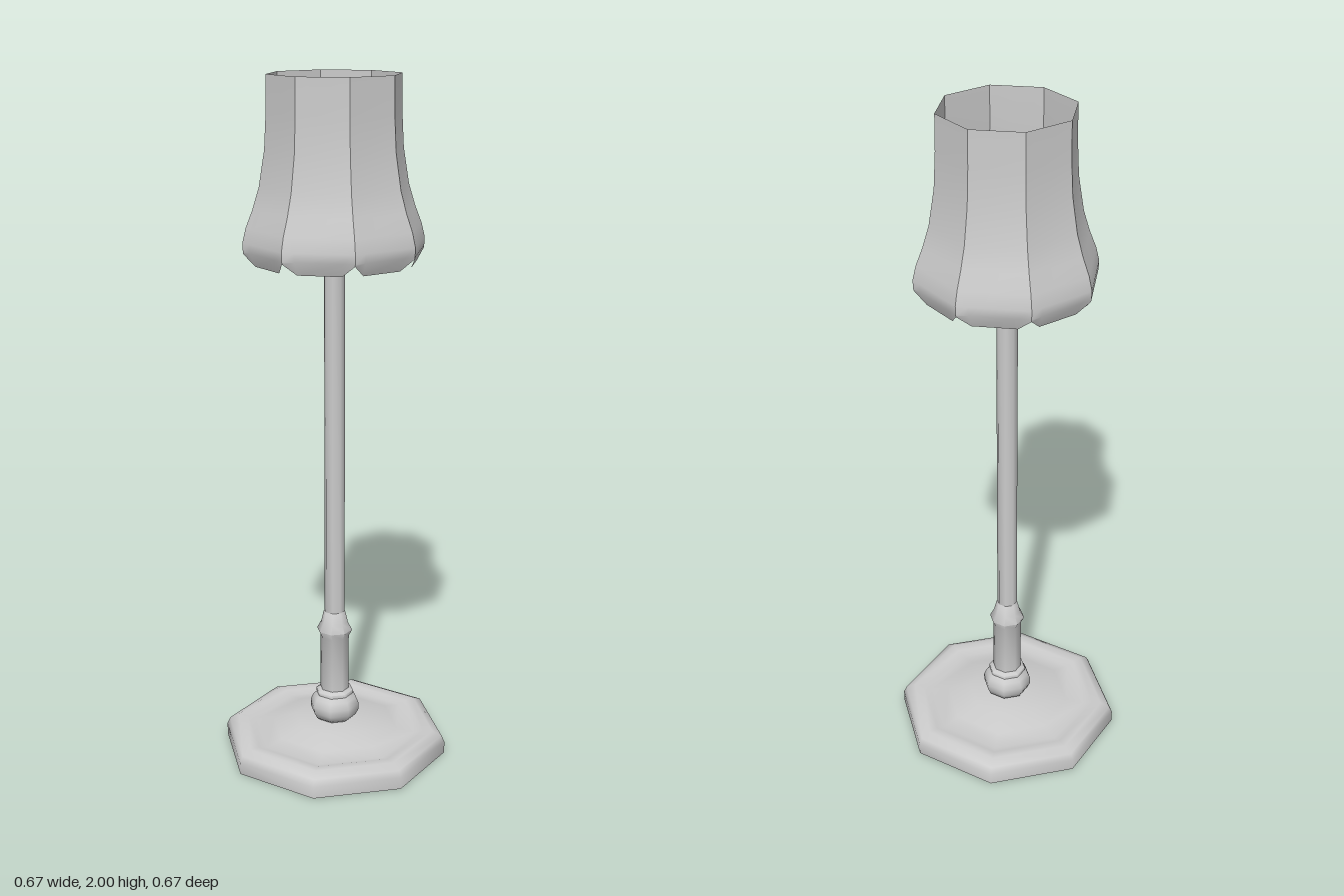
import * as THREE from 'three';
import { toCreasedNormals } from 'three/addons/utils/BufferGeometryUtils.js';

const material = new THREE.MeshStandardMaterial({ color: 0xcccccc });
const shadeMaterial = new THREE.MeshStandardMaterial({ color: 0xcccccc, side: THREE.DoubleSide });

// Eight-sided turned part from [radius, height] pairs, listed bottom to top
function turned(name, profile) {
  const points = profile.map(([r, y]) => new THREE.Vector2(r, y));
  const mesh = new THREE.Mesh(toCreasedNormals(new THREE.LatheGeometry(points, 8), 1.05), material);
  mesh.name = name;
  return mesh;
}

// One shade panel: a grid bent to the flared profile, with a scalloped lower edge
function shadePanel() {
  // [distance from axis, height], top to bottom
  const rows = [[0.174, 2], [0.175, 1.9], [0.18, 1.8], [0.195, 1.7], [0.212, 1.64],
    [0.23, 1.59], [0.239, 1.55], [0.238, 1.525], [0.222, 1.488]];
  const columns = [-1, -0.66, 0.66, 1];
  const geometry = new THREE.PlaneGeometry(1, 1, columns.length - 1, rows.length - 1);
  const position = geometry.attributes.position;
  rows.forEach(([r, y], j) => columns.forEach((u, i) => {
    // the outer corners of the last row stay up, which forms the scallop
    const raised = j === rows.length - 1 && Math.abs(u) === 1;
    const dist = raised ? 0.237 : r;
    const height = raised ? 1.519 : y;
    position.setXYZ(j * columns.length + i, u * dist * Math.tan(Math.PI / 8), height, dist);
  }));
  geometry.computeVertexNormals();
  return geometry;
}

export function createModel() {
  const lamp = new THREE.Group();
  lamp.name = 'floorLamp';

  // Octagonal foot with a rounded rim and a raised middle
  lamp.add(turned('base', [[0, 0], [0.337, 0], [0.337, 0.035], [0.328, 0.055], [0.3, 0.068],
    [0.27, 0.066], [0.245, 0.058], [0.19, 0.069], [0.12, 0.09], [0, 0.094]]));

  // Ball under the column
  lamp.add(turned('ball', [[0.045, 0.088], [0.064, 0.102], [0.073, 0.12], [0.074, 0.14],
    [0.066, 0.16], [0.05, 0.175]]));

  // Collar ring
  lamp.add(turned('collar', [[0.045, 0.17], [0.056, 0.173], [0.056, 0.183], [0.043, 0.19]]));

  // Thick lower column ending in a flared bead
  lamp.add(turned('column', [[0.043, 0.185], [0.043, 0.36], [0.053, 0.38],
    [0.04, 0.405], [0.033, 0.435], [0.029, 0.44]]));

  // Slim pole
  lamp.add(turned('pole', [[0.03, 0.43], [0.03, 1.69]]));

  // Flared socket with a flat top, hidden inside the shade
  lamp.add(turned('socket', [[0.03, 1.68], [0.055, 1.7], [0.075, 1.73], [0.075, 1.76], [0, 1.76]]));

  // Open shade of eight panels
  const shade = new THREE.Group();
  shade.name = 'shade';
  const panel = shadePanel();
  for (let i = 0; i < 8; i++) {
    const mesh = new THREE.Mesh(panel, shadeMaterial);
    mesh.name = 'shadePanel';
    mesh.rotation.y = (i * Math.PI) / 4;
    shade.add(mesh);
  }
  lamp.add(shade);
  return lamp;
}
